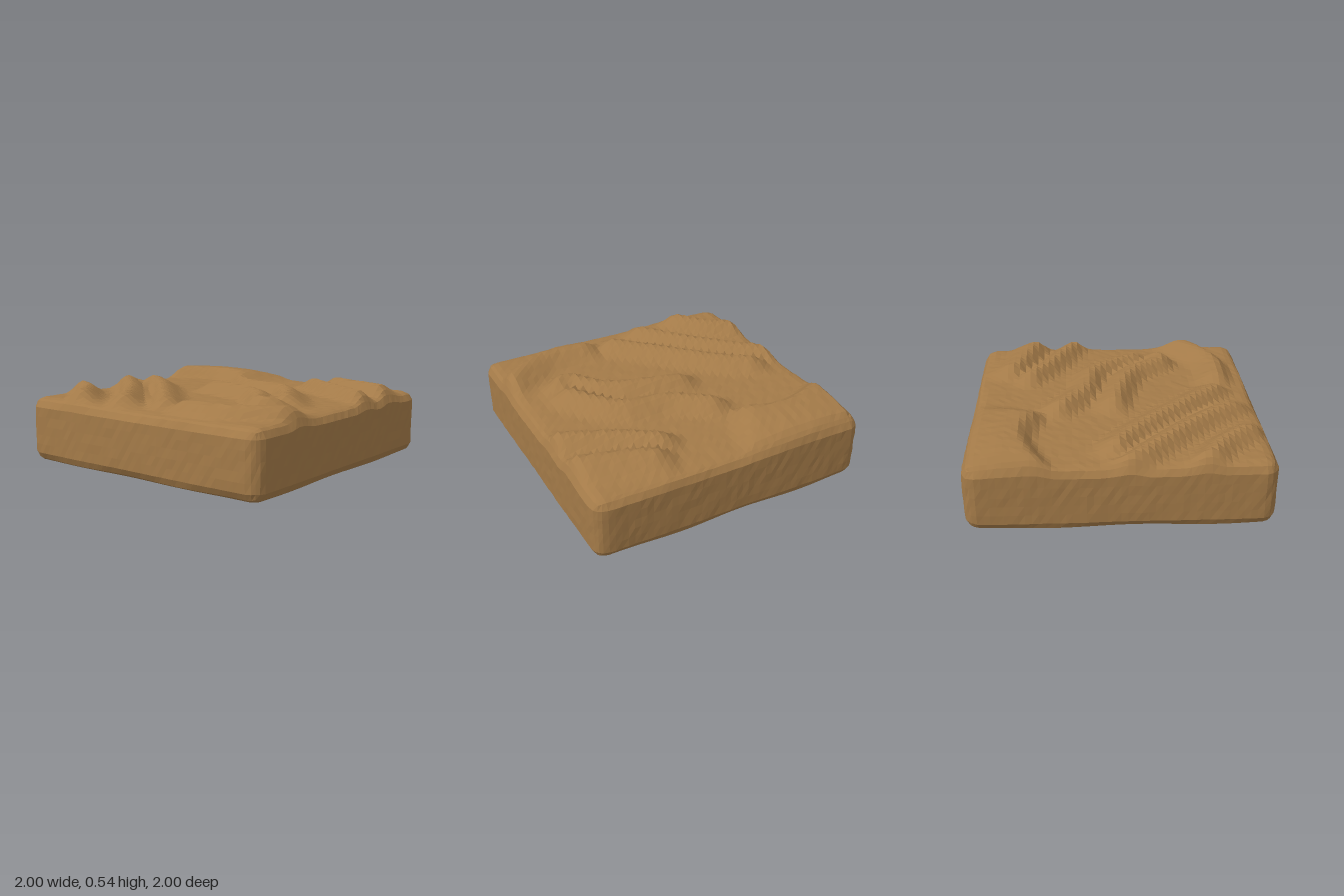
import * as THREE from 'three';
import { mergeVertices } from 'three/addons/utils/BufferGeometryUtils.js';

const smooth = (t) => THREE.MathUtils.smoothstep(t, 0, 1);

// A dune crest: a smooth line, steep on its +z side and gentle on its -z side.
function crest(gentle, ...points) {
  const curve = new THREE.SplineCurve(points.map(([x, z]) => new THREE.Vector2(x, z)));
  return { gentle, line: curve.getPoints(10) };
}

const backLeft = crest(0.6, [-1.15, -0.46], [-0.8, -0.61], [-0.54, -0.66], [-0.18, -0.53]);
const backRight = crest(0.25, [0.3, -0.82], [0.6, -0.68], [1.15, -0.52]);
const right = crest(0.16, [0.2, -0.7], [0.55, -0.46], [1.1, -0.2]);
const middle = crest(0.2, [-0.32, -0.48], [0.06, -0.2], [0.42, -0.11], [0.72, 0.34]);
const hook = crest(0.2, [-0.3, -0.03], [0.33, 0.13], [0.58, 0.4], [0.76, 0.22]);
const left = crest(0.2, [-0.9, -0.08], [-0.55, 0.13], [0.16, 0.85]);
const frontLeft = crest(0.18, [-1.1, -0.05], [-0.5, 0.49], [-0.15, 0.95]);
const cornerLeft = crest(0.17, [-1.1, 0.48], [-0.75, 0.68], [-0.5, 1]);
const frontRight = crest(0.22, [0.1, 0.76], [0.6, 0.78], [1.1, 0.45]);
const crests = [backLeft, backRight, right, middle, hook, left, frontLeft, cornerLeft, frontRight];

// Height one crest adds at (x, z), from the nearest point of its line.
function crestHeight({ gentle, line }, x, z) {
  let best = Infinity, side = 1, along = 0, length = 0;
  for (let i = 0; i < line.length - 1; i++) {
    const a = line[i];
    const dx = line[i + 1].x - a.x, dz = line[i + 1].y - a.y;
    const len = Math.hypot(dx, dz);
    const t = THREE.MathUtils.clamp(((x - a.x) * dx + (z - a.y) * dz) / (len * len), 0, 1);
    const d = Math.hypot(x - a.x - t * dx, z - a.y - t * dz);
    if (d < best) {
      best = d;
      side = dx * (z - a.y) - dz * (x - a.x);
      along = length + t * len;
    }
    length += len;
  }
  const fade = smooth(Math.min(along, length - along) / 0.2 + 0.05);
  return 0.085 * fade * smooth(1 - best / (side > 0 ? 0.125 : gentle));
}

// Dune relief: the highest crest wins, over a faint swell.
function relief(x, z) {
  const swell = 0.006 * Math.sin(3.1 * x + 1) * Math.cos(2.7 * z);
  return swell + Math.max(...crests.map((c) => crestHeight(c, x, z)));
}

// Repeatable small offset between 0 and 1 from a position.
function chip(x, y, z) {
  const s = Math.sin(x * 12.99 + y * 78.23 + z * 37.72) * 43758.5;
  return s - Math.floor(s);
}

// Block with worn, rounded edges and a sculpted top.
function slabGeometry() {
  const top = 0.452, segments = 46;
  const box = new THREE.BoxGeometry(2, top, 2, segments, 7, segments);
  box.deleteAttribute('normal');
  box.deleteAttribute('uv');
  const geometry = mergeVertices(box, 1e-4);
  const pos = geometry.attributes.position;
  const p = new THREE.Vector3(), core = new THREE.Vector3();
  for (let i = 0; i < pos.count; i++) {
    p.fromBufferAttribute(pos, i);
    p.y += top / 2;
    const { x, y, z } = p;

    // Edge radius wanders along the rim
    const r = 0.092 + 0.018 * Math.sin(7 * x + 2) * Math.sin(6 * z + 1);
    const scale = new THREE.Vector3(r, r * (y < top / 2 ? 0.8 : 0.7), r);
    core.set(
      THREE.MathUtils.clamp(x, -1 + r, 1 - r),
      THREE.MathUtils.clamp(y, r * 0.8, top - r * 0.7),
      THREE.MathUtils.clamp(z, -1 + r, 1 - r),
    );
    p.sub(core).divide(scale).clampLength(0, 1).multiply(scale).add(core);

    // Raise the top with the dunes, fading out at the rim and down the sides
    const lift = smooth((y - 0.27) / (top - 0.27));
    const rim = smooth((1 - Math.max(Math.abs(x), Math.abs(z))) / 0.1);
    p.y += lift * relief(x, z) * (0.45 + 0.55 * rim);

    // Light chiselling on the top and sides
    const c = chip(x, y, z);
    if (y > top - 1e-3) p.y -= 0.005 * c;
    else if (y > 1e-3) {
      p.x *= 1 - 0.004 * c;
      p.z *= 1 - 0.004 * c;
    }
    pos.setXYZ(i, p.x, p.y, p.z);
  }
  geometry.computeVertexNormals();
  return geometry;
}

export function createModel() {
  const group = new THREE.Group();
  group.name = 'sandTile';
  const sand = new THREE.MeshStandardMaterial({ color: 0xa37a48, flatShading: true });
  sand.name = 'sand brown';
  const slab = new THREE.Mesh(slabGeometry(), sand);
  slab.name = 'duneSlab';
  group.add(slab);
  return group;
}
